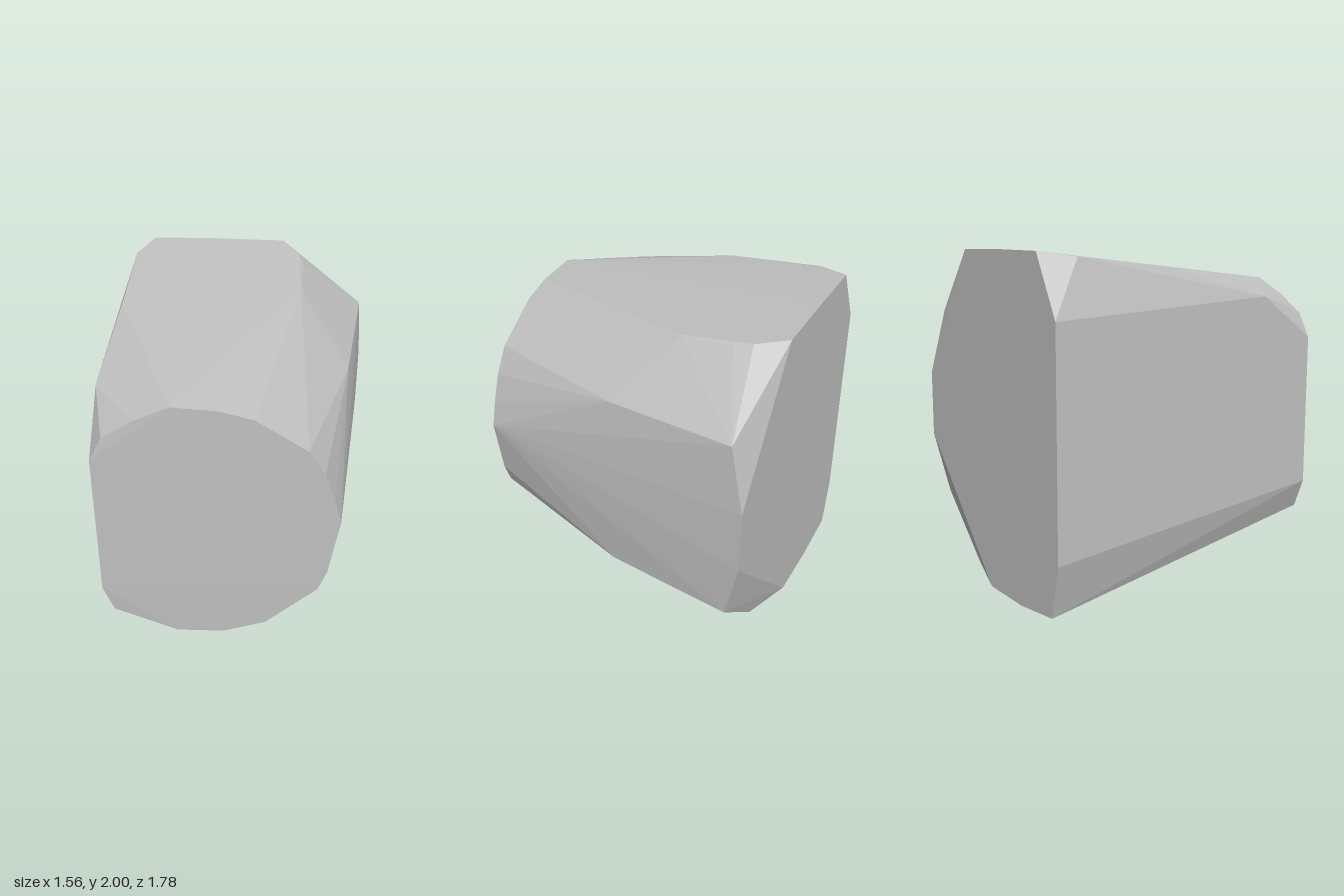
import * as THREE from 'three';
import { ConvexGeometry } from 'three/addons/geometries/ConvexGeometry.js';

// Rounded outline of the small front end (x, y)
const frontOutline = [
  [-0.34, 1.8], [-0.08, 1.78], [0.1, 1.73], [0.39, 1.54], [0.48, 1.39], [0.54, 1.22],
  [0.58, 1.07], [0.52, 0.71], [0.47, 0.58], [0.34, 0.47], [0.17, 0.31], [-0.08, 0.23],
  [-0.35, 0.23], [-0.54, 0.32], [-0.72, 0.39], [-0.78, 0.56], [-0.78, 1.46], [-0.71, 1.6], [-0.54, 1.71],
];

// Outline of the large flat back end (x, y)
const backOutline = [
  [-0.59, 2], [-0.2, 2], [0.24, 1.99], [0.78, 1.2], [0.78, 0.8], [0, 0],
  [-0.37, 0], [-0.71, 0.04], [-0.78, 0.35], [-0.78, 1.65],
];

// Corners along the tapering sides (x, y, z)
const sideCorners = [
  [0.34, 1.97, -0.72], [0.37, 1.94, -0.62], [0.35, 1.92, -0.3],    // upper right edge
  [0.75, 1.6, -0.8], [0.62, 1.62, -0.2], [0.64, 1.56, 0],          // right side, top
  [0.75, 0.41, -0.8], [0.7, 0.41, -0.5], [0.64, 0.4, 0],           // right side, bottom
  [0.34, 0.04, -0.8], [0.36, 0.22, 0.2],                           // lower right edge
  [-0.69, 1.97, -0.7], [-0.68, 1.95, -0.5], [-0.71, 1.9, -0.12], [-0.78, 1.72, 0.53], // upper left edge
];

export function createModel() {
  const stone = new THREE.MeshStandardMaterial({ color: 0xc0c0c0 });
  stone.name = 'light grey';

  // The front end leans forward very slightly toward the left
  const points = [
    ...frontOutline.map(([x, y]) => new THREE.Vector3(x, y, x < -0.75 ? 0.89 : 0.88)),
    ...backOutline.map(([x, y]) => new THREE.Vector3(x, y, -0.89)),
    ...sideCorners.map((c) => new THREE.Vector3(...c)),
  ];

  const block = new THREE.Mesh(new ConvexGeometry(points), stone);
  block.name = 'facetedBlock';

  const model = new THREE.Group();
  model.name = 'taperedBlock';
  model.add(block);
  return model;
}
